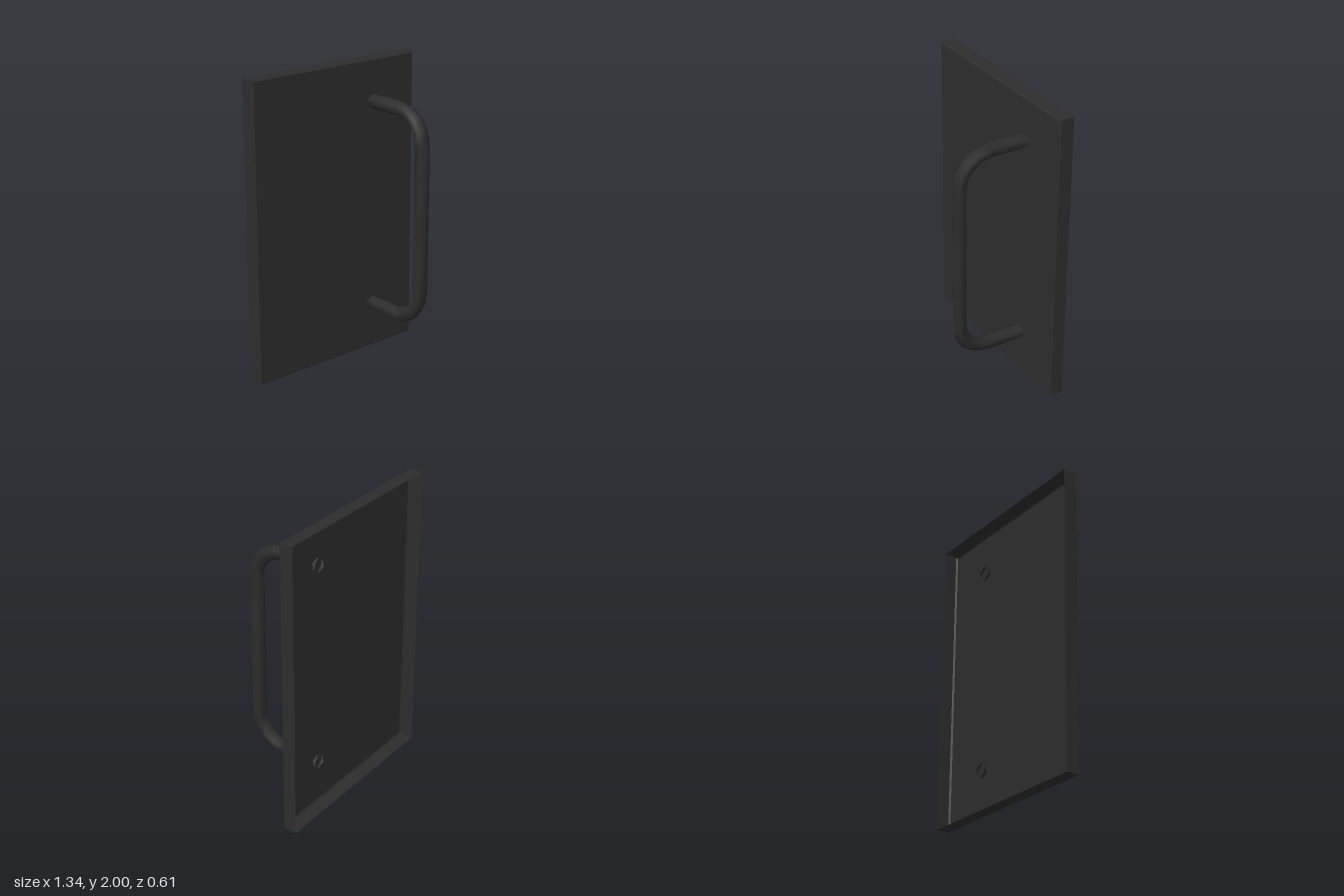
import * as THREE from 'three';

// Skin a list of closed rings (arrays of Vector3); optionally cap the last ring
function loft(rings, cap) {
  const n = rings[0].length;
  const pos = rings.flat().flatMap(p => [p.x, p.y, p.z]);
  const idx = [];
  for (let r = 0; r < rings.length - 1; r++) {
    for (let i = 0; i < n; i++) {
      const a = r * n + i, b = r * n + (i + 1) % n;
      idx.push(a, b, b + n, a, b + n, a + n);
    }
  }
  if (cap) {
    const s = (rings.length - 1) * n;
    for (let i = 1; i < n - 1; i++) idx.push(s, s + i, s + i + 1);
  }
  const g = new THREE.BufferGeometry();
  g.setAttribute('position', new THREE.Float32BufferAttribute(pos, 3));
  g.setIndex(idx);
  return g;
}

export function createModel() {
  const group = new THREE.Group();
  const material = new THREE.MeshStandardMaterial({ color: 0x2d2d2d, side: THREE.DoubleSide });
  material.name = 'charcoal';

  // Door panel: open-backed tray with a small bevel around the front
  const rect = (inset, z) => [[-1, -1], [1, -1], [1, 1], [-1, 1]].map(([sx, sy]) =>
    new THREE.Vector3(sx * (0.668 - inset), 1 + sy * (1 - inset), z));
  const panelGeometry = loft([rect(0, -0.303), rect(0, -0.215), rect(0.01, -0.205)], true).toNonIndexed();
  panelGeometry.computeVertexNormals();
  const panel = new THREE.Mesh(panelGeometry, material);
  panel.name = 'doorPanel';
  group.add(panel);

  // Handle: six-sided tube with rounded corners, ends poking through the panel
  const radius = 0.049, bend = 0.202, cz = 0.052, end = -0.222;
  const path = [];   // centre z, centre y, angle of the outward direction
  path.push([end, 0.515 - bend, -Math.PI / 2]);
  for (const [cy, start] of [[0.515, -Math.PI / 2], [1.515, 0]]) {
    for (let i = 0; i <= 4; i++) {
      const t = start + i * Math.PI / 8;
      path.push([cz + bend * Math.cos(t), cy + bend * Math.sin(t), t]);
    }
  }
  path.push([end, 1.515 + bend, Math.PI / 2]);
  const rings = path.map(([z, y, t]) => Array.from({ length: 6 }, (_, i) => {
    const a = i * Math.PI / 3, out = radius * Math.cos(a);
    return new THREE.Vector3(0.308 + radius * Math.sin(a), y + out * Math.sin(t), z + out * Math.cos(t));
  }));
  const handleGeometry = loft(rings, false);
  handleGeometry.computeVertexNormals();
  const handle = new THREE.Mesh(handleGeometry, material);
  handle.name = 'pullHandle';
  group.add(handle);

  return group;
}
